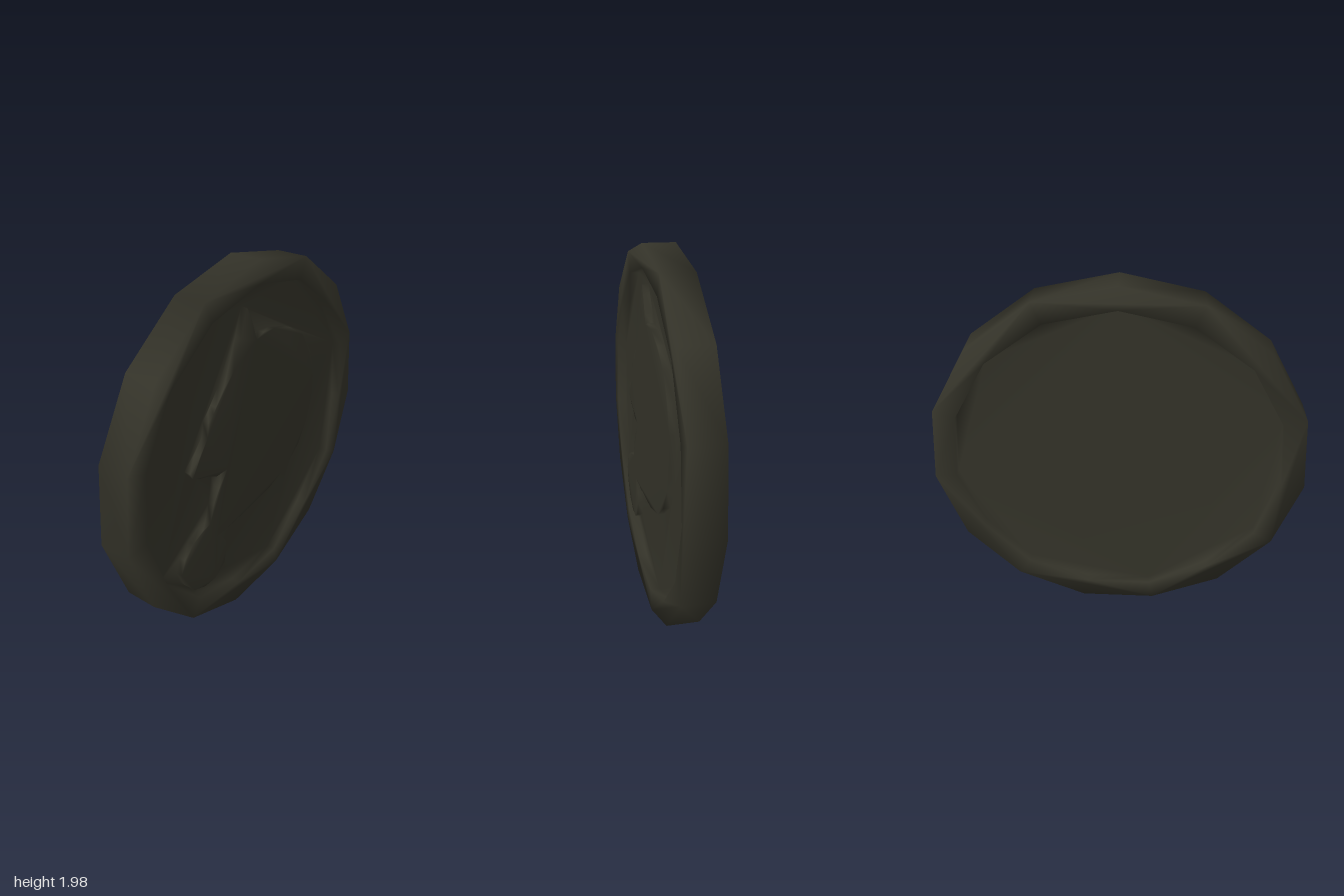
import * as THREE from 'three';
import { mergeGeometries, mergeVertices } from 'three/addons/utils/BufferGeometryUtils.js';

const SIDES = 15, CY = 0.994;
const RIM_Z = 0.085, FIELD_Z = 0.035, RELIEF_Z = 0.07;

// regular polygon with a corner at the top, counter-clockwise
const polygon = (r) => Array.from({ length: SIDES }, (_, i) => {
  const a = Math.PI / 2 + (i / SIDES) * Math.PI * 2;
  return new THREE.Vector2(r * Math.cos(a), CY + r * Math.sin(a));
});

// flat face at height z, optionally with a hole
function face(points, z, hole) {
  const shape = new THREE.Shape(points);
  if (hole) shape.holes.push(new THREE.Path(hole));
  const g = new THREE.ShapeGeometry(shape).toNonIndexed();
  return g.translate(0, 0, z).deleteAttribute('normal').deleteAttribute('uv');
}

// the same face looking backwards (for mirror-symmetric outlines)
const backFace = (points, z, hole) => face(points, z, hole).rotateY(Math.PI);

// wall along an outline; faces outward when z0 < z1, inward when z0 > z1
function wall(points, z0, z1) {
  const pos = [];
  points.forEach((p, i) => {
    const q = points[(i + 1) % points.length];
    pos.push(p.x, p.y, z0, q.x, q.y, z0, q.x, q.y, z1);
    pos.push(p.x, p.y, z0, q.x, q.y, z1, p.x, p.y, z1);
  });
  return new THREE.BufferGeometry().setAttribute('position', new THREE.Float32BufferAttribute(pos, 3));
}

export function createModel() {
  const group = new THREE.Group();
  group.name = 'medallion';
  const metal = new THREE.MeshStandardMaterial({ color: 0x343329 });
  metal.name = 'darkBronze';

  const outer = polygon(0.999), inner = polygon(0.88);

  // raised profile: ear, brow, snout, jaw, ball, then neck and rounded back
  const profile = [
    [-0.08, 1.78], [-0.13, 1.64], [-0.19, 1.49], [-0.27, 1.43], [-0.33, 1.36], [-0.35, 1.33],
    [-0.39, 1.3], [-0.4, 1.22], [-0.46, 1.15], [-0.54, 1.09], [-0.52, 1.05], [-0.46, 1.02],
    [-0.4, 1.0], [-0.34, 0.965], [-0.25, 0.96], [-0.32, 0.88], [-0.37, 0.8], [-0.4, 0.7],
    [-0.46, 0.695], [-0.54, 0.66], [-0.61, 0.6], [-0.64, 0.52], [-0.62, 0.44], [-0.55, 0.35],
    [-0.46, 0.31], [-0.37, 0.305], [-0.29, 0.36], [-0.27, 0.45], [-0.28, 0.51], [-0.31, 0.56],
    [-0.35, 0.58], [-0.2, 0.585], [0, 0.6], [0.13, 0.615], [0.31, 0.67], [0.44, 0.77],
    [0.52, 0.9], [0.56, 1.05], [0.56, 1.2], [0.52, 1.34], [0.43, 1.47], [0.3, 1.555],
    [0.15, 1.6], [0.06, 1.61], [0, 1.59], [-0.02, 1.65], [-0.05, 1.73],
  ].map(([x, y]) => new THREE.Vector2(x, y));

  // all surfaces share corners so the shading flows over the edges
  const pieces = [
    wall(outer, -RIM_Z, RIM_Z),          // outer edge
    face(outer, RIM_Z, inner),           // front rim
    wall(inner, RIM_Z, FIELD_Z),         // step down to the front field
    face(inner, FIELD_Z, profile),       // front field
    wall(profile, FIELD_Z, RELIEF_Z),    // relief side
    face(profile, RELIEF_Z),             // relief top
    backFace(outer, RIM_Z, inner),       // back rim
    wall(inner, -FIELD_Z, -RIM_Z),       // step down to the back field
    backFace(inner, FIELD_Z),            // back field
  ];
  // the back step must face the centre
  pieces[7] = wall(inner, -FIELD_Z, -RIM_Z);

  const geometry = mergeVertices(mergeGeometries(pieces), 1e-3);
  geometry.computeVertexNormals();
  const coin = new THREE.Mesh(geometry, metal);
  coin.name = 'reliefDisc';
  group.add(coin);
  return group;
}
